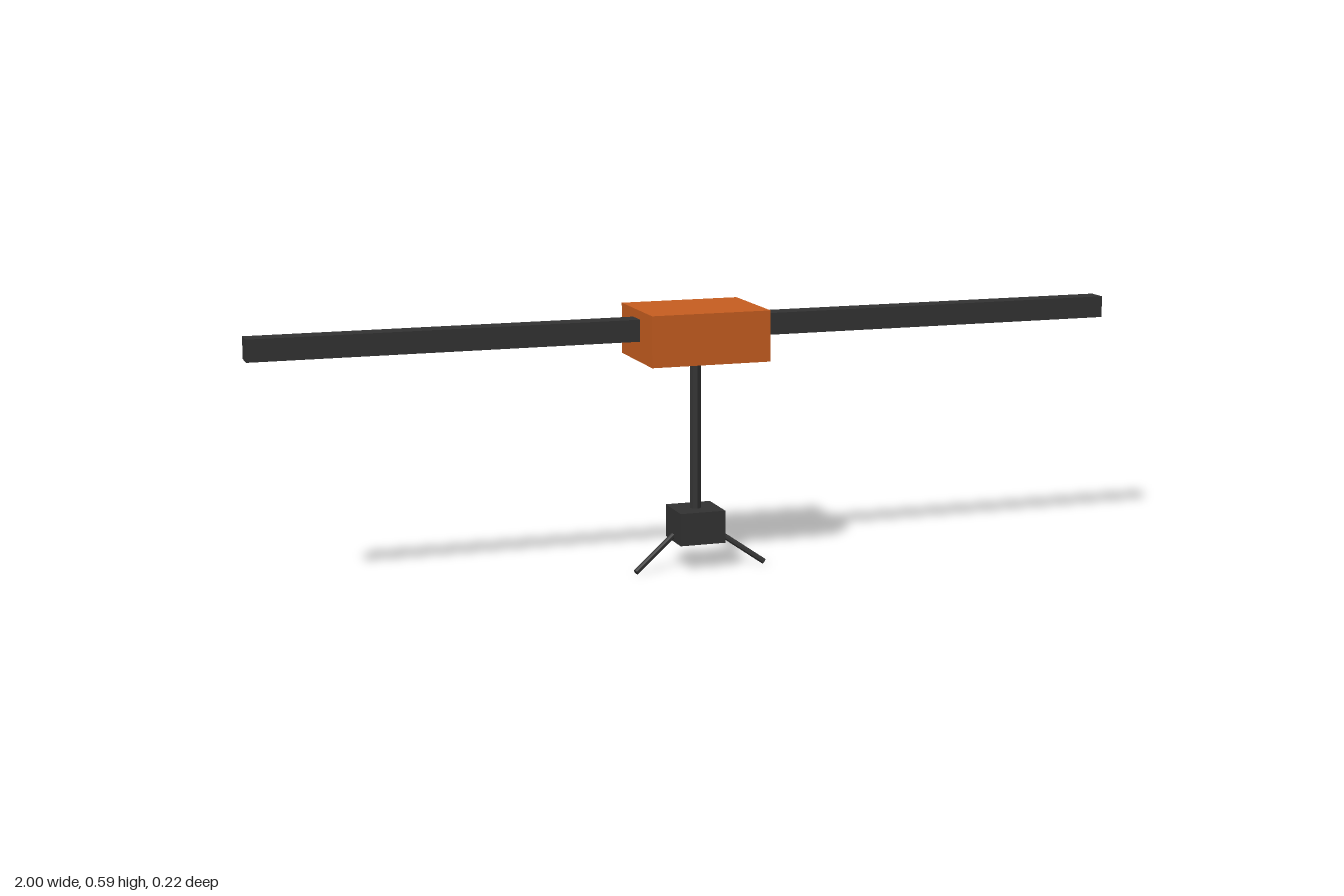
import * as THREE from 'three';

export function createModel() {
  const model = new THREE.Group();
  const orange = new THREE.MeshStandardMaterial({ color: 0xc85e20 });
  orange.name = 'orange';
  const charcoal = new THREE.MeshStandardMaterial({ color: 0x333333, flatShading: true });
  charcoal.name = 'charcoal';

  function add(name, geometry, material, x, y, z) {
    const mesh = new THREE.Mesh(geometry, material);
    mesh.name = name;
    mesh.position.set(x, y, z);
    model.add(mesh);
    return mesh;
  }

  // central body
  add('body', new THREE.BoxGeometry(0.274, 0.114, 0.221), orange, 0, 0.538, 0);

  // hanging rod and the block at its lower end
  add('rod', new THREE.CylinderGeometry(0.013, 0.013, 0.343, 8), charcoal, 0, 0.3065, 0);
  add('lowerBlock', new THREE.BoxGeometry(0.106, 0.074, 0.106), charcoal, 0, 0.1, 0);

  for (const [side, s] of [['left', 1], ['right', -1]]) {
    // long square side arm
    add(side + 'Arm', new THREE.BoxGeometry(0.87, 0.049, 0.049), charcoal, s * 0.565, 0.551, 0);

    // thin splayed leg
    const start = new THREE.Vector3(s * 0.053, 0.077, 0);
    const end = new THREE.Vector3(s * 0.153, 0.0075, 0.036);
    const along = end.clone().sub(start);
    const leg = add(side + 'Leg', new THREE.CylinderGeometry(0.0065, 0.0065, along.length(), 8), charcoal, 0, 0, 0);
    leg.position.addVectors(start, end).multiplyScalar(0.5);
    leg.quaternion.setFromUnitVectors(new THREE.Vector3(0, 1, 0), along.normalize());
  }

  return model;
}
